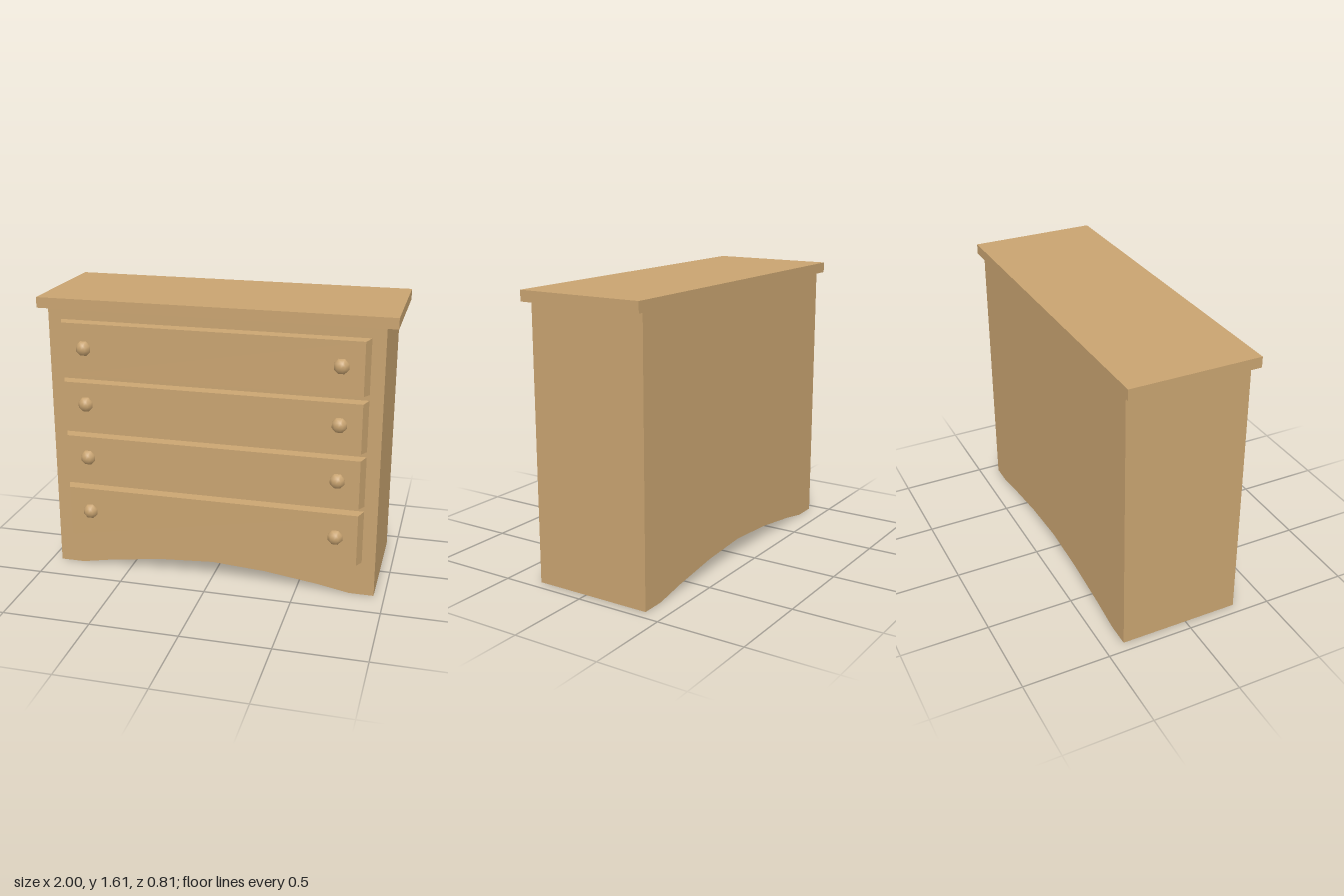
import * as THREE from 'three';

export function createModel() {
  const group = new THREE.Group();
  group.name = 'dresser';
  const wood = new THREE.MeshStandardMaterial({ color: 0xc8a370 });
  wood.name = 'wood';

  const add = (geometry, name, x = 0, y = 0, z = 0) => {
    const mesh = new THREE.Mesh(geometry, wood);
    mesh.name = name;
    mesh.position.set(x, y, z);
    group.add(mesh);
  };

  // Carcass with an arched lower edge running front to back
  const arch = [[-0.8, 0], [-0.62, 0.033], [-0.31, 0.075], [0, 0.095], [0.31, 0.075], [0.62, 0.033], [0.8, 0]];
  const outline = [[-0.94, 0], ...arch, [0.94, 0], [0.94, 1.55], [-0.94, 1.55]];
  const body = new THREE.Shape(outline.map(([x, y]) => new THREE.Vector2(x, y)));
  add(new THREE.ExtrudeGeometry(body, { depth: 0.695, bevelEnabled: false }), 'body', 0, 0, -0.385);

  // Overhanging top board
  add(new THREE.BoxGeometry(2, 0.06, 0.735), 'topBoard', 0, 1.58, -0.0375);

  // Drawer front: a box whose front face is drawn in to slope the edges
  const drawerFront = (height) => {
    const depth = 0.06;
    const g = new THREE.BoxGeometry(1.73, height, depth);
    const p = g.attributes.position;
    for (let i = 0; i < p.count; i++) {
      if (p.getZ(i) < 0) continue;
      p.setX(i, p.getX(i) - Math.sign(p.getX(i)) * 0.025);
      p.setY(i, p.getY(i) - Math.sign(p.getY(i)) * 0.005);
    }
    g.computeVertexNormals();
    return g;
  };

  // Rounded low-poly knob with its pole facing forward
  const knob = new THREE.SphereGeometry(0.047, 8, 6).rotateX(Math.PI / 2).rotateZ(Math.PI / 8);

  const drawers = [[0.2, 0.51, 0.365], [0.54, 0.83, 0.7], [0.86, 1.15, 1.02], [1.182, 1.49, 1.345]];
  drawers.forEach(([bottom, top, knobY], i) => {
    add(drawerFront(top - bottom), `drawer${i + 1}`, 0, (bottom + top) / 2, 0.339);
    for (const side of [-1, 1]) {
      add(knob, `drawer${i + 1}${side > 0 ? 'Left' : 'Right'}Knob`, side * 0.718, knobY, 0.358);
    }
  });

  return group;
}
